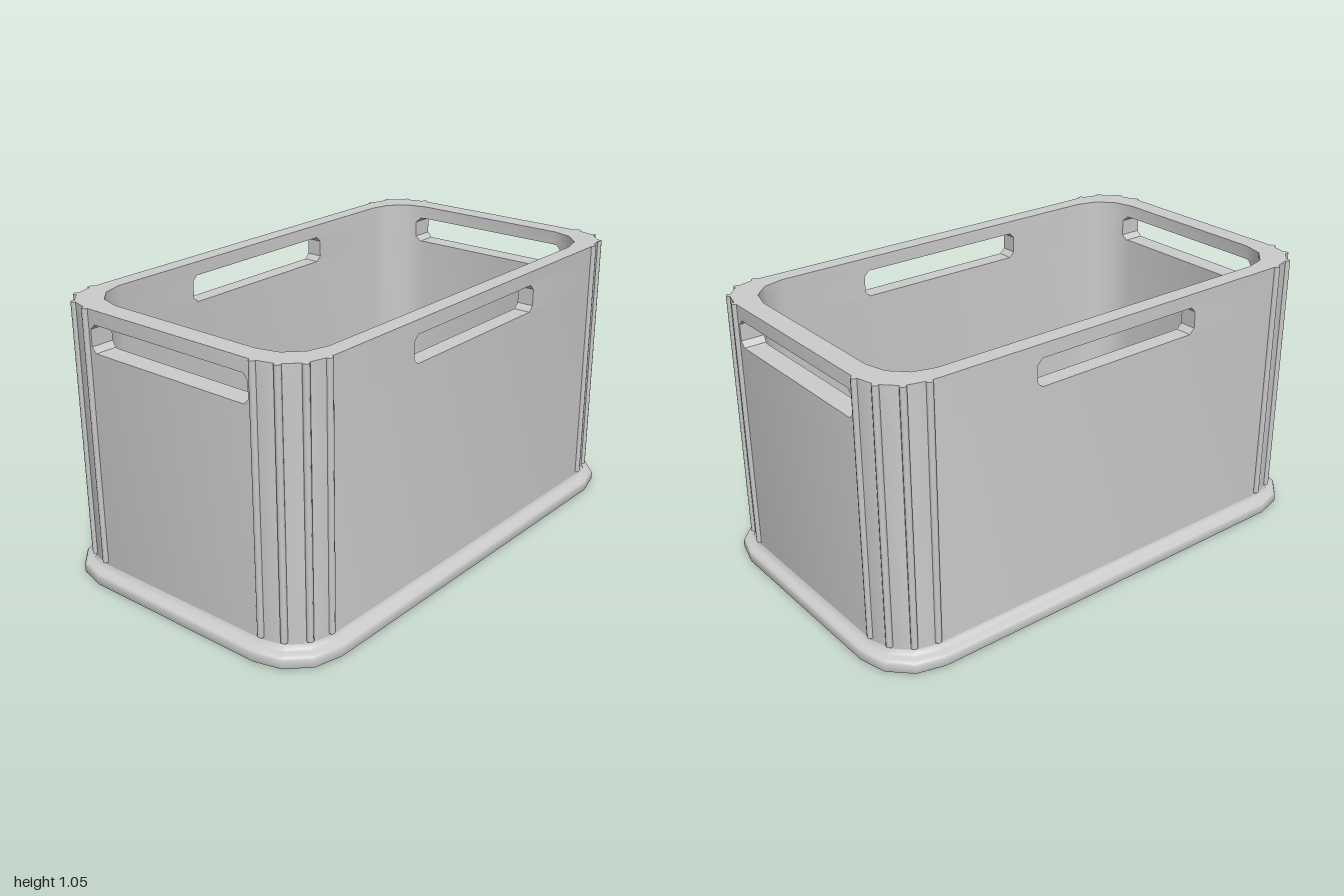
import * as THREE from 'three';
import { mergeGeometries, toCreasedNormals } from 'three/addons/utils/BufferGeometryUtils.js';

const HEIGHT = 1.05, FLOOR = 0.07;
const OUTER = { cx: 0.385, cz: 0.79, r: 0.165 };
const INNER = { cx: 0.325, cz: 0.715, r: 0.16 };
const material = new THREE.MeshStandardMaterial({ color: 0xcccccc });

// Three-segment rounded corner in the +x +z quadrant, running from +x to +z
function cornerArc({ cx, cz, r }) {
  return [0, 1, 2, 3].map((k) => {
    const a = (k * Math.PI) / 6;
    return [cx + r * Math.cos(a), cz + r * Math.sin(a)];
  });
}

// Mirror a quadrant's points, keeping the loop direction
function mirrored(points, sx, sz) {
  const out = points.map(([x, z]) => [x * sx, z * sz]);
  return sx * sz < 0 ? out.reverse() : out;
}

const QUADRANTS = [[1, 1], [-1, 1], [-1, -1], [1, -1]];
const outline = (spec) => QUADRANTS.flatMap(([sx, sz]) => mirrored(cornerArc(spec), sx, sz));

// Skin between stacked loops [{ y, points }], optionally capped
function loft(levels, capped) {
  const pos = [];
  const n = levels[0].points.length;
  const at = (level, i) => {
    const [x, z] = level.points[i % n];
    return [x, level.y, z];
  };
  for (let l = 0; l < levels.length - 1; l++) {
    const lo = levels[l], hi = levels[l + 1];
    for (let i = 0; i < n; i++) {
      pos.push(...at(lo, i), ...at(hi, i + 1), ...at(lo, i + 1));
      pos.push(...at(lo, i), ...at(hi, i), ...at(hi, i + 1));
    }
  }
  if (capped) {
    const lo = levels[0], hi = levels[levels.length - 1];
    for (let i = 0; i < n; i++) {
      pos.push(0, lo.y, 0, ...at(lo, i), ...at(lo, i + 1));
      pos.push(0, hi.y, 0, ...at(hi, i + 1), ...at(hi, i));
    }
  }
  const geometry = new THREE.BufferGeometry();
  geometry.setAttribute('position', new THREE.Float32BufferAttribute(pos, 3));
  return geometry;
}

// Closed band of wall between two heights
function wallBand(y0, y1) {
  const vectors = (spec) => outline(spec).map(([x, z]) => new THREE.Vector2(x, z));
  const shape = new THREE.Shape(vectors(OUTER));
  shape.holes.push(new THREE.Path(vectors(INNER)));
  const geometry = new THREE.ExtrudeGeometry(shape, { depth: y1 - y0, bevelEnabled: false });
  geometry.rotateX(-Math.PI / 2).translate(0, y0, 0);
  geometry.deleteAttribute('uv');
  geometry.deleteAttribute('normal');
  return geometry;
}

// Wall corner left standing between two handle openings of half-width w
function cornerSection(w) {
  const outer = cornerArc(OUTER), inner = cornerArc(INNER);
  const innerZ = inner[3][1] - (w - inner[3][0]) * Math.tan(Math.PI / 12);
  return [
    [outer[0][0], w], ...outer, [w, outer[3][1]],
    [w, innerZ], inner[2], inner[1], inner[0], [inner[0][0], w],
  ];
}

function addMesh(parent, name, geometry) {
  const mesh = new THREE.Mesh(geometry, material);
  mesh.name = name;
  parent.add(mesh);
}

export function createModel() {
  const model = new THREE.Group();
  model.name = 'storageCrate';

  // Base with a rounded rim and a small fillet up to the wall: [y, corner radius]
  const rim = [
    [0, 0.198], [0.004, 0.207], [0.012, 0.21], [0.036, 0.21], [0.044, 0.206],
    [0.049, 0.196], [0.051, 0.18], [0.056, 0.171], [FLOOR, 0.165],
  ];
  const base = loft(rim.map(([y, r]) => ({ y, points: outline({ ...OUTER, r }) })), true);
  addMesh(model, 'base', toCreasedNormals(base, 0.7));

  // Walls: solid bands below and above the chamfered handle openings
  const handle = [[0.895, 0.343], [0.915, 0.363], [0.978, 0.363], [0.998, 0.343]];
  const parts = [wallBand(FLOOR, handle[0][0]), wallBand(handle[3][0], HEIGHT)];
  for (const [sx, sz] of QUADRANTS) {
    parts.push(loft(handle.map(([y, w]) => ({ y, points: mirrored(cornerSection(w), sx, sz) })), false));
  }
  addMesh(model, 'walls', toCreasedNormals(mergeGeometries(parts), 0.6));

  // Slim vertical ribs along the corner edges
  const ribs = new THREE.Group();
  ribs.name = 'cornerRibs';
  const ribBottom = 0.08;
  const ribGeometry = new THREE.CylinderGeometry(0.0125, 0.0125, HEIGHT - ribBottom, 8);
  for (const [x, z] of outline(OUTER)) {
    addMesh(ribs, 'rib', ribGeometry);
    ribs.children.at(-1).position.set(x, (HEIGHT + ribBottom) / 2, z);
  }
  model.add(ribs);

  return model;
}
